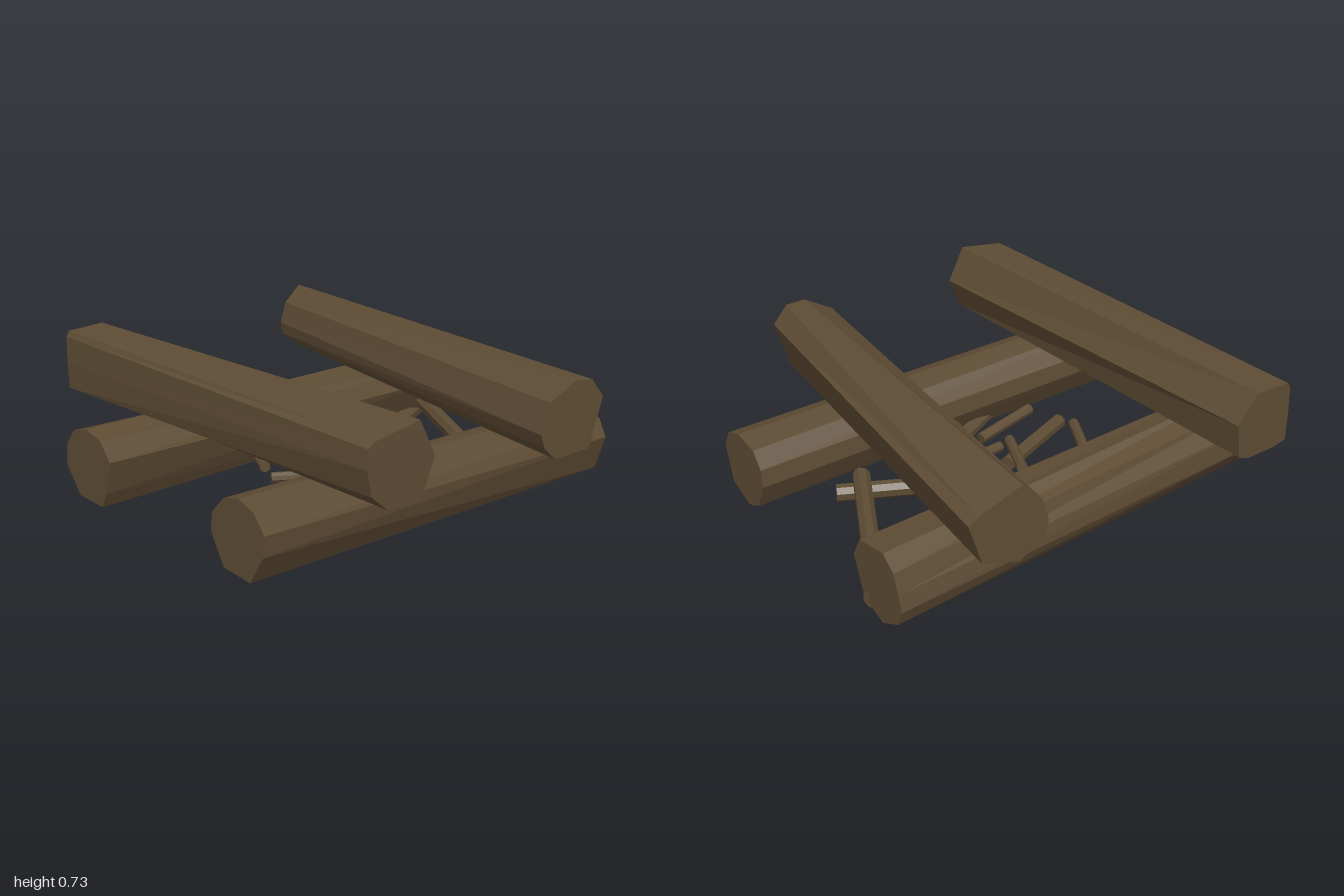
import * as THREE from 'three';

const bark = new THREE.MeshStandardMaterial({ color: 0x5e4c34, flatShading: true });
bark.name = 'brown bark';

// Hewn log: joins two end outlines, each listed counter-clockwise as seen from the first end
function log(name, a, b) {
  const p = [];
  const n = a.length;
  const tri = (u, v, w) => p.push(...u, ...v, ...w);
  for (let i = 0; i < n; i++) {
    const j = (i + 1) % n;
    tri(a[i], b[i], b[j]);
    tri(a[i], b[j], a[j]);
    if (i > 0 && i < n - 1) {
      tri(a[0], a[i], a[j]);
      tri(b[0], b[j], b[i]);
    }
  }
  const g = new THREE.BufferGeometry();
  g.setAttribute('position', new THREE.Float32BufferAttribute(p, 3));
  g.computeVertexNormals();
  const m = new THREE.Mesh(g, bark);
  m.name = name;
  return m;
}

// Outline helpers: z-facing end, and x-facing end that may be skewed along z
const endZ = (pts, z) => pts.map(([x, y]) => [x, y, z]);
const endX = (pts, x, zMid = 0, slope = 0) => pts.map(([z, y]) => [x + slope * (z - zMid), y, z]);

// Thin stick between two points
function twig(ax, ay, az, bx, by, bz, r) {
  const a = new THREE.Vector3(ax, ay, az);
  const b = new THREE.Vector3(bx, by, bz);
  const m = new THREE.Mesh(new THREE.CylinderGeometry(r, r, a.distanceTo(b), 8), bark);
  m.position.copy(a).add(b).multiplyScalar(0.5);
  m.quaternion.setFromUnitVectors(new THREE.Vector3(0, 1, 0), b.sub(a).normalize());
  m.name = 'twig';
  return m;
}

export function createModel() {
  const model = new THREE.Group();
  model.name = 'campfire logs';

  // Two lower logs, running front to back
  model.add(log('lowerLogRight',
    endZ([[-0.335, 0.31], [-0.4, 0.39], [-0.5, 0.415], [-0.6, 0.385], [-0.66, 0.31],
      [-0.67, 0.21], [-0.58, 0.095], [-0.41, 0.09], [-0.375, 0.16]], 0.995),
    endZ([[-0.39, 0.22], [-0.44, 0.31], [-0.61, 0.335], [-0.68, 0.28], [-0.71, 0.2],
      [-0.73, 0.13], [-0.7, 0.06], [-0.59, 0.005], [-0.46, 0.05]], -0.975)));
  model.add(log('lowerLogLeft',
    endZ([[0.67, 0.31], [0.61, 0.385], [0.52, 0.415], [0.43, 0.39], [0.355, 0.31],
      [0.345, 0.23], [0.42, 0.1], [0.58, 0.09], [0.66, 0.22]], 0.995),
    endZ([[0.7, 0.22], [0.66, 0.3], [0.56, 0.335], [0.43, 0.31], [0.37, 0.24],
      [0.36, 0.16], [0.42, 0.04], [0.51, 0.005], [0.65, 0.06]], -0.975)));

  // Two upper logs, laid across
  model.add(log('upperLogFront',
    endX([[0.43, 0.57], [0.51, 0.73], [0.74, 0.7], [0.77, 0.68], [0.775, 0.6],
      [0.75, 0.49], [0.67, 0.42], [0.53, 0.41], [0.49, 0.43]], 0.98),
    endX([[0.48, 0.58], [0.575, 0.7], [0.75, 0.695], [0.765, 0.67], [0.768, 0.55],
      [0.765, 0.43], [0.7, 0.415], [0.55, 0.41], [0.5, 0.43]], -0.99)));
  model.add(log('upperLogBack',
    endX([[-0.545, 0.585], [-0.48, 0.67], [-0.39, 0.68], [-0.26, 0.61],
      [-0.22, 0.48], [-0.24, 0.42], [-0.3, 0.36], [-0.48, 0.37]], 0.97, -0.385, -0.15),
    endX([[-0.82, 0.565], [-0.78, 0.595], [-0.6, 0.68], [-0.52, 0.6],
      [-0.49, 0.5], [-0.5, 0.44], [-0.61, 0.355], [-0.765, 0.39]], -0.975, -0.655, -0.14)));

  // Loose kindling in the middle: start, end, radius
  const twigs = new THREE.Group();
  twigs.name = 'kindling';
  [
    [-0.35, 0.15, -0.87, 0.22, 0.15, -0.57, 0.04],
    [0.27, 0.07, -0.67, 0.05, 0.07, -0.23, 0.04],
    [-0.27, 0.07, -0.22, -0.56, 0.1, -0.57, 0.04],
    [-0.34, 0.1, -0.08, -0.6, 0.12, -0.36, 0.035],
    [-0.5, 0.06, -0.97, -0.37, 0.06, -0.68, 0.04],
    [-0.2, 0.06, -0.31, 0, 0.06, -0.07, 0.03],
    [-0.08, 0.12, -0.19, -0.24, 0.1, 0.03, 0.025],
    [-0.08, 0.07, -0.01, -0.23, 0.07, 0.22, 0.025],
    [-0.1, 0.12, 0.07, 0.17, 0.1, 0.2, 0.025],
    [-0.32, 0.215, 0.26, -0.05, 0.22, 0.4, 0.024],
    [0.115, 0.1, -0.18, 0.145, 0.1, 0.13, 0.024],
    [0.23, 0.12, 0.08, 0.265, 0.165, 0.39, 0.026],
    [0.26, 0.06, -0.14, 0.44, 0.11, 0.27, 0.035],
    [0.05, 0.06, 0.1, 0.24, 0.06, 0.55, 0.035],
  ].forEach((t) => twigs.add(twig(...t)));
  model.add(twigs);
  return model;
}
